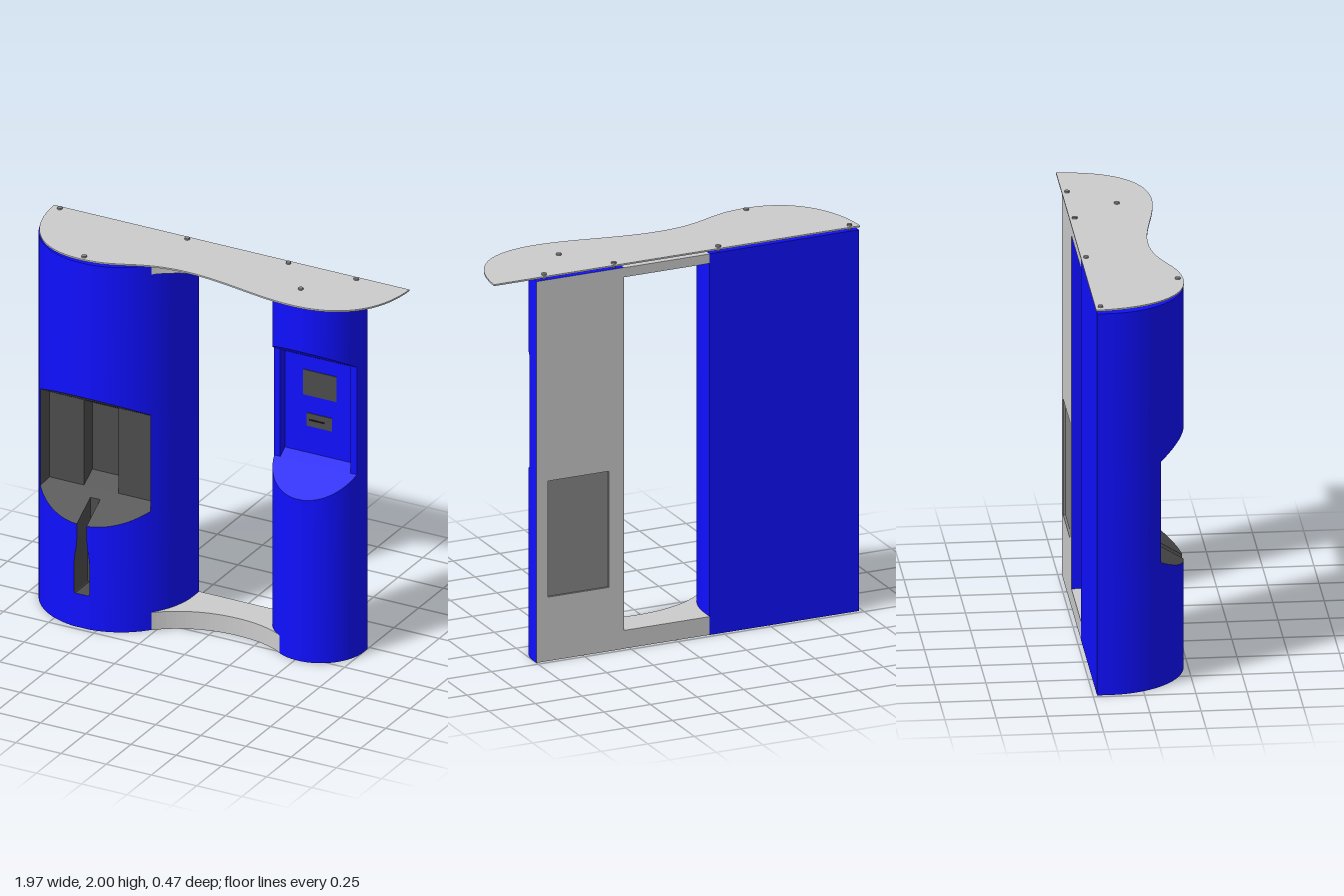
import * as THREE from 'three';
import { mergeGeometries } from 'three/addons/utils/BufferGeometryUtils.js';

const material = (color) => new THREE.MeshStandardMaterial({ color, side: THREE.DoubleSide });
const BLUE = material(0x0f0fff), GREY = material(0xcccccc), DARK = material(0x4c4c4c), DOOR = material(0x888888);
const TOP = 1.97, BACK = -0.23, SLOPE = 0.61;

// Surface through rows of points, all rows of equal length
function grid(rows) {
  const n = rows[0].length, index = [];
  for (let i = 0; i < rows.length - 1; i++) {
    for (let j = 0; j < n - 1; j++) {
      const a = i * n + j, b = a + n;
      index.push(a, a + 1, b + 1, a, b + 1, b);
    }
  }
  const g = new THREE.BufferGeometry();
  g.setAttribute('position', new THREE.Float32BufferAttribute(rows.flat(2), 3));
  g.setIndex(index);
  g.computeVertexNormals();
  return g;
}

function add(parent, name, geometry, mat) {
  const mesh = new THREE.Mesh(Array.isArray(geometry) ? mergeGeometries(geometry) : geometry, mat);
  mesh.name = name;
  parent.add(mesh);
  return mesh;
}

// Rectangles are [x0, x1, y0, y1]
const corners = ([x0, x1, y0, y1], z) => [[x0, y0, z], [x1, y0, z], [x1, y1, z], [x0, y1, z]];
function face(rect, z) {
  const [a, b, c, d] = corners(rect, z);
  return grid([[a, b], [d, c]]);
}
// Four walls joining two rectangles at different depths
function frame(outer, z0, inner, z1) {
  const a = corners(outer, z0), b = corners(inner, z1);
  return mergeGeometries([0, 1, 2, 3].map((i) => {
    const k = (i + 1) % 4;
    return grid([[a[i], a[k]], [b[i], b[k]]]);
  }));
}
// Flat piece lying in the xz plane
function slab(shape, top, height) {
  const g = new THREE.ExtrudeGeometry(shape, { depth: height, bevelEnabled: false, curveSegments: 32 });
  return g.rotateX(Math.PI / 2).translate(0, top, 0);
}
function box(rect, z0, z1) {
  const [x0, x1, y0, y1] = rect;
  return new THREE.BoxGeometry(x1 - x0, y1 - y0, z1 - z0)
    .translate((x0 + x1) / 2, (y0 + y1) / 2, (z0 + z1) / 2);
}

// D-shaped column with a bevelled cut across its front; returns the cut's opening
function column(parent, name, { cx, r, cz, cut, y0, y1, cutMat, half, open }) {
  const group = new THREE.Group();
  group.name = name;
  parent.add(group);
  const inner = Math.asin(half / r), edge = Math.acos((cut - cz) / r);
  const point = (a) => [cx + r * Math.sin(a), cz + r * Math.cos(a)];
  const steps = (a, b, n) => Array.from({ length: n + 1 }, (_, i) => point(a + (b - a) * i / n));
  const front = steps(inner, edge, 14), side = [...steps(edge, Math.PI / 2, 14), [cx + r, BACK]];
  const mirror = (pts) => pts.map(([x, z]) => [2 * cx - x, z]).reverse();
  const rise = (z) => Math.max(0, z - cut) * SLOPE;
  const low = (z) => y0 - rise(z), high = (z) => y1 + rise(z);
  const band = (pts, f, g) => grid([pts.map(f), pts.map(g)]);
  const floor = ([x, z]) => [x, 0, z], roof = ([x, z]) => [x, TOP, z];
  const lip = ([x, z]) => [x, low(z), z], brow = ([x, z]) => [x, high(z), z];
  const sill = ([x]) => [x, y0, cut], head = ([x]) => [x, y1, cut];
  const right = [...front, ...side.slice(1)], left = mirror(right);
  const middle = [left[left.length - 1], right[0]];
  const all = [...left, ...right];
  const frontLeft = mirror(front);

  const shell = [band(all, brow, roof), band(left, floor, lip), band(right, floor, lip)];
  for (const s of [side, mirror(side)]) shell.push(band(s, sideLow, sideHigh));
  function sideLow([x, z]) { return [x, y0, z]; }
  function sideHigh([x, z]) { return [x, y1, z]; }
  shell.push(band(middle, floor, open ? ([x, z]) => [x, open, z] : lip));
  add(group, 'shell', shell, BLUE);

  const bevels = [band([...frontLeft, ...front], head, brow), band(frontLeft, lip, sill), band(front, lip, sill)];
  if (!open) bevels.push(band(middle, lip, sill));
  add(group, 'cutBevels', bevels, cutMat);

  const plan = new THREE.Shape(all.map(([x, z]) => new THREE.Vector2(x, z)));
  for (const [part, y] of [['topCap', TOP], ['bottomCap', 0]]) {
    add(group, part, new THREE.ShapeGeometry(plan).rotateX(Math.PI / 2).translate(0, y, 0), BLUE);
  }
  const w = r * Math.sin(edge);
  return { group, opening: [cx - w, cx + w, y0, y1], lipZ: middle[0][1], lipY: low(middle[0][1]) };
}

// Wide column with a dark pocket and a bottle-shaped channel below it
function wideColumn(parent) {
  const cx = -0.58, half = 0.043, cut = 0.09, y0 = 0.64;
  const { group, opening, lipZ, lipY } = column(parent, 'wideColumn',
    { cx, r: 0.4, cz: -0.17, cut, y0, y1: 1.16, cutMat: DARK, half, open: 0.18 });
  add(group, 'backPanel', face([cx - 0.4, cx + 0.4, 0, TOP], BACK), BLUE);

  // Pocket: tapered rim, two flat panels and a deeper niche between them
  const niche = [-0.67, -0.48, 0.67, 1.13], nicheBack = [-0.67, -0.48, 0.72, 1.08];
  add(group, 'pocketRim', frame(opening, cut, [-0.86, -0.285, 0.67, 1.13], 0.04), DARK);
  add(group, 'pocketPanels', [face([-0.86, -0.67, 0.67, 1.13], 0.04), face([-0.48, -0.285, 0.67, 1.13], 0.04)], DARK);
  add(group, 'niche', [frame(niche, 0.04, nicheBack, -0.045), face(nicheBack, -0.045)], DARK);

  // Channel: half-widths by height
  const wall = [[0.18, 0.036], [0.187, 0.042], [0.35, 0.042], [0.39, 0.038], [0.44, 0.029], [0.48, 0.027], [lipY, 0.027]];
  const bevel = [[lipY, 0.027], [y0, 0.027]];
  const zAt = (y) => lipZ - Math.max(0, y - lipY) / SLOPE;
  const rim = (pts, s) => grid(pts.map(([y, w]) => [[cx + s * half, y, zAt(y)], [cx + s * w, y, zAt(y)]]));
  const cheek = (s) => grid([...wall, bevel[1]].map(([y, w]) => [[cx + s * w, y, zAt(y)], [cx + s * w, y, cut]]));
  add(group, 'channelSurround', [rim(wall, -1), rim(wall, 1)], BLUE);
  add(group, 'channelLip', [rim(bevel, -1), rim(bevel, 1)], DARK);
  add(group, 'channel', [cheek(-1), cheek(1),
    grid([...wall, bevel[1]].map(([y, w]) => [[cx - w, y, cut], [cx + w, y, cut]])),
    grid([[[cx - 0.036, 0.18, lipZ], [cx + 0.036, 0.18, lipZ]], [[cx - 0.036, 0.18, cut], [cx + 0.036, 0.18, cut]]]),
  ], DARK);
}

// Narrow column with a control recess in front and a service door behind
function narrowColumn(parent) {
  const cx = 0.515, r = 0.235, cut = -0.135, deep = -0.185;
  const { group, opening } = column(parent, 'narrowColumn',
    { cx, r, cz: -0.19, cut, y0: 0.98, y1: 1.56, cutMat: BLUE, half: 0.02 });
  const hole = [0.32, 0.71, 0.98, 1.56], panel = [0.32, 0.71, 1.01, 1.53];
  add(group, 'recess', [
    face([opening[0], hole[0], hole[2], hole[3]], cut), face([hole[1], opening[1], hole[2], hole[3]], cut),
    frame(hole, cut, panel, deep), face(panel, deep)], BLUE);
  add(group, 'screen', box([0.42, 0.605, 1.32, 1.455], deep, deep + 0.004), DARK);
  add(group, 'cardReader', box([0.44, 0.58, 1.155, 1.225], deep, deep + 0.004), DARK);
  add(group, 'cardSlot', box([0.455, 0.54, 1.186, 1.194], deep, deep + 0.006), material(0x111111));

  const door = [0.36, 0.687, 0.33, 0.93];
  add(group, 'backPanel', frame([cx - r, cx + r, 0, TOP], BACK, door, BACK), GREY);
  add(group, 'serviceDoor', [frame(door, BACK, door, BACK + 0.012), face(door, BACK + 0.012)], DOOR);
}

export function createModel() {
  const model = new THREE.Group();
  model.name = 'kiosk';
  wideColumn(model);
  narrowColumn(model);

  // Beams between the columns, hollowed along the front
  const beam = new THREE.Shape();
  beam.moveTo(-0.18, BACK);
  beam.lineTo(0.28, BACK);
  beam.lineTo(0.282, -0.17);
  beam.lineTo(0.4, 0.015);
  beam.bezierCurveTo(0.24, -0.09, -0.08, -0.09, -0.27, 0.09);
  beam.lineTo(-0.182, -0.17);
  add(model, 'bottomBeam', slab(beam, 0.095, 0.094), GREY);
  add(model, 'topBeam', slab(beam, TOP - 0.001, 0.049), GREY);

  // Thin wavy canopy
  const canopy = new THREE.Shape();
  canopy.moveTo(-0.985, -0.235);
  canopy.lineTo(0.98, -0.235);
  canopy.bezierCurveTo(0.97, 0.05, 0.81, 0.19, 0.56, 0.19);
  canopy.bezierCurveTo(0.36, 0.19, 0.15, 0.11, -0.06, 0.11);
  canopy.bezierCurveTo(-0.33, 0.11, -0.37, 0.23, -0.59, 0.23);
  canopy.bezierCurveTo(-0.86, 0.23, -0.98, 0, -0.985, -0.235);
  add(model, 'canopy', slab(canopy, 1.992, 0.008), GREY);

  // Pins carrying the canopy
  for (const [x, z] of [[-0.94, -0.21], [-0.235, -0.21], [0.325, -0.21], [0.7, -0.21], [0.515, 0.015], [-0.58, 0.203]]) {
    add(model, 'canopyPin', [
      new THREE.CylinderGeometry(0.006, 0.006, 0.03, 16).translate(x, 1.98, z),
      new THREE.CylinderGeometry(0.013, 0.013, 0.01, 20).translate(x, 1.995, z)], DOOR);
  }
  return model;
}
